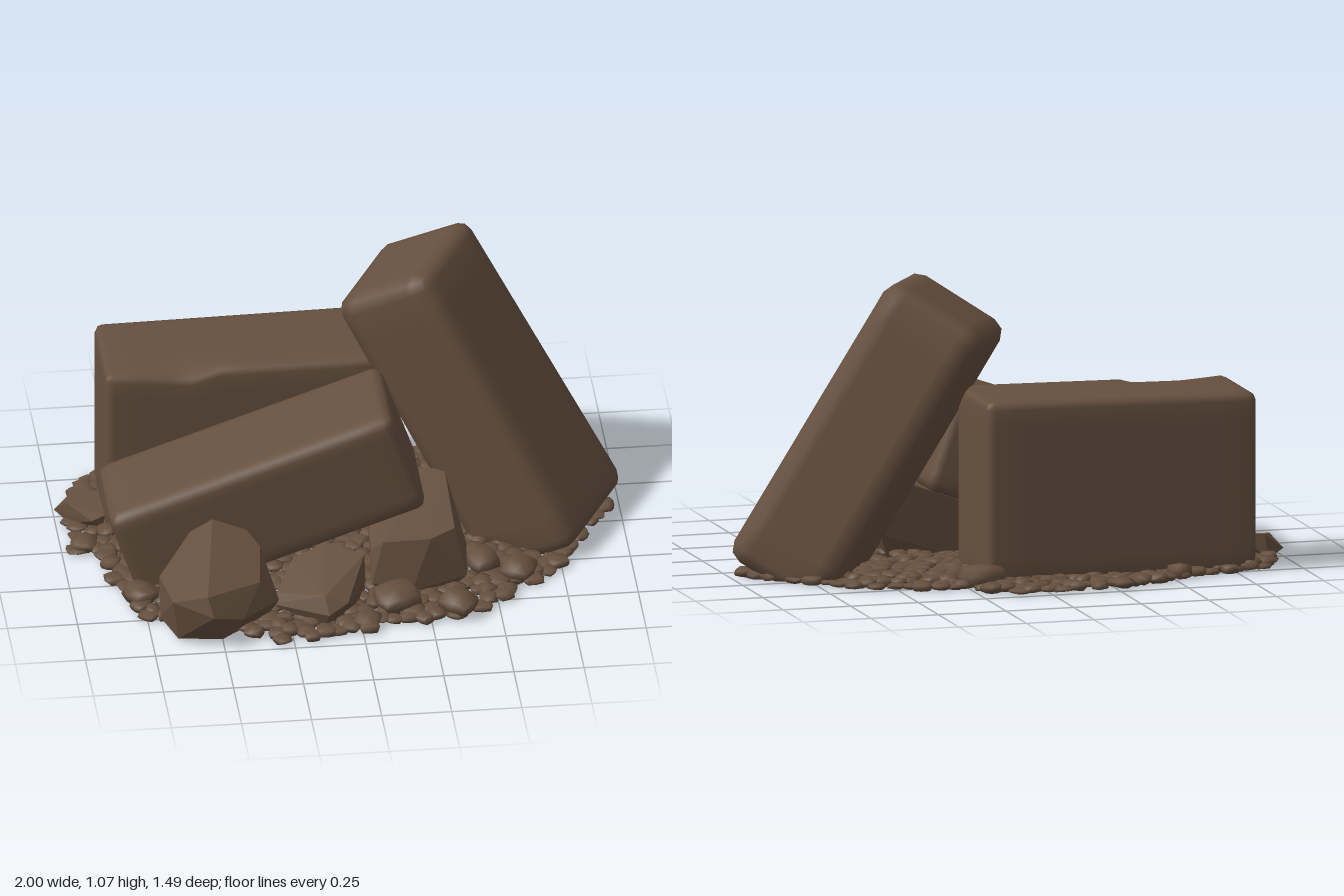
import * as THREE from 'three';
import { mergeGeometries, mergeVertices } from 'three/addons/utils/BufferGeometryUtils.js';
import { ConvexGeometry } from 'three/addons/geometries/ConvexGeometry.js';

const clamp = THREE.MathUtils.clamp;

// Cube grid with shared corners, so that it shades smoothly
function cubeGrid(size, n) {
  const geo = new THREE.BoxGeometry(size, size, size, n, n, n);
  geo.deleteAttribute('uv');
  geo.deleteAttribute('normal');
  return mergeVertices(geo);
}

// Soft-edged stone block, placed by a basis, cut off at the ground along its own upright edges
function blockGeometry(size, r, basis, centre, warp) {
  const n = 12;
  const geo = cubeGrid(2, n);
  const pos = geo.attributes.position;
  const half = size.map((s) => s / 2);
  const up = new THREE.Vector3().setFromMatrixColumn(basis, 1);
  const p = new THREE.Vector3(), inner = new THREE.Vector3();
  for (let i = 0; i < pos.count; i++) {
    p.fromBufferAttribute(pos, i);
    // outermost grid ring forms the bevel, the rest fills the flat face
    ['x', 'y', 'z'].forEach((k, j) => {
      const flat = half[j] - r;
      p[k] = Math.abs(p[k]) > 0.999 ? Math.sign(p[k]) * half[j] : (p[k] * flat) / (1 - 2 / n);
      inner[k] = clamp(p[k], -flat, flat);
    });
    p.sub(inner).setLength(r).add(inner);
    p.applyMatrix4(basis).add(centre);
    if (warp) warp(p);
    if (p.y < 0.005) p.addScaledVector(up, (0.005 - p.y) / up.y);
    pos.setXYZ(i, p.x, p.y, p.z);
  }
  geo.computeVertexNormals();
  return geo;
}

// Convex boulder from a few corner points
const rockGeometry = (pts) => new ConvexGeometry(pts.map((p) => new THREE.Vector3(...p)));

// Small worn cube, tilted, squashed and turned, resting at height y
function chunk(x, z, rx, ry, rz, turn, tilt, y = 0) {
  const g = cubeGrid(1.7, 2);
  const pos = g.attributes.position;
  const p = new THREE.Vector3();
  for (let i = 0; i < pos.count; i++) {
    p.fromBufferAttribute(pos, i);
    p.setLength(THREE.MathUtils.lerp(p.length(), 1, 0.6));
    pos.setXYZ(i, p.x, p.y, p.z);
  }
  g.rotateX(tilt);
  g.rotateZ(tilt * 0.7);
  g.scale(rx, ry, rz);
  g.rotateY(turn);
  g.computeBoundingBox();
  g.translate(x, y - g.boundingBox.min.y, z);
  g.computeVertexNormals();
  return g;
}

// Point-in-polygon test for the rubble bed
function inside(poly, x, z) {
  let hit = false;
  for (let i = 0, j = poly.length - 1; i < poly.length; j = i++) {
    const [ax, az] = poly[i], [bx, bz] = poly[j];
    if (az > z !== bz > z && x < ((bx - ax) * (z - az)) / (bz - az) + ax) hit = !hit;
  }
  return hit;
}

export function createModel() {
  const group = new THREE.Group();
  const stone = new THREE.MeshStandardMaterial({ color: 0x66503f });
  stone.name = 'brown stone';
  const add = (name, geo) => {
    const mesh = new THREE.Mesh(geo, stone);
    mesh.name = name;
    group.add(mesh);
  };
  const V = (x, y, z) => new THREE.Vector3(x, y, z);

  // Upright block at the back, with a chip along its top front edge
  add('backBlock', blockGeometry([1.0, 0.65, 0.39], 0.03, new THREE.Matrix4(), V(-0.33, 0.325, -0.31), (p) => {
    if (p.y > 0.55 && p.x < -0.44) {
      p.y -= 0.035 * clamp((p.z + 0.21) / 0.08, 0, 1) * clamp((p.x + 0.8) / 0.33, 0, 1);
    }
    p.y += 0.014 * (p.x + 0.33) * (p.y > 0.3 ? 1 : 0);
  }));

  // Block tipped sideways in front of it
  add('tiltedBlock', blockGeometry([1.07, 0.4, 0.4], 0.035,
    new THREE.Matrix4().makeRotationZ(0.337), V(-0.298, 0.289, 0.105)));

  // Tall slab leaning inwards, a little wider towards its foot
  const w = V(-0.49, -0.06, 0.867).normalize();
  const u = w.clone().cross(V(0.75, 0.5, 0.425)).normalize();
  const t = u.clone().cross(w);
  const slabCentre = V(0.503, 0.476, -0.132);
  add('leaningSlab', blockGeometry([0.4, 1.16, 0.475], 0.055,
    new THREE.Matrix4().makeBasis(t, u, w), slabCentre, (p) => {
      const side = p.clone().sub(slabCentre).dot(w);
      p.addScaledVector(w, side * 0.1 * (0.5 - p.y));
    }));

  // Boulders at the front
  add('largeBoulder', rockGeometry([
    [-0.58, 0.26, 0.34], [-0.5, 0.3, 0.33], [-0.38, 0.26, 0.35], [-0.34, 0.23, 0.42], [-0.29, 0.1, 0.58],
    [-0.36, 0.19, 0.6], [-0.43, 0.1, 0.7], [-0.54, 0.14, 0.75], [-0.56, 0.21, 0.72], [-0.68, 0.18, 0.69],
    [-0.71, 0.19, 0.52], [-0.71, 0.04, 0.55], [-0.66, 0.02, 0.67], [-0.5, 0.0, 0.66],
    [-0.32, 0.01, 0.52], [-0.38, 0.0, 0.34], [-0.58, 0.0, 0.36]]));
  add('middleBoulder', rockGeometry([
    [-0.22, 0.14, 0.37], [-0.1, 0.18, 0.33], [0.03, 0.185, 0.44], [0.03, 0.09, 0.47], [-0.05, 0.1, 0.63],
    [-0.12, 0.07, 0.66], [-0.13, 0.13, 0.62], [-0.29, 0.09, 0.51], [-0.31, 0.05, 0.52],
    [-0.24, 0.01, 0.46], [-0.13, 0.0, 0.62], [0.0, 0.0, 0.48], [-0.08, 0.0, 0.36]]));
  add('rightBoulder', rockGeometry([
    [0.08, 0.2, 0.02], [0.3, 0.28, 0.02], [0.36, 0.28, 0.06], [0.4, 0.1, 0.05], [0.36, 0.23, 0.37],
    [0.27, 0.22, 0.42], [0.1, 0.21, 0.41], [0.06, 0.17, 0.38], [0.06, 0.05, 0.42], [0.2, 0.03, 0.45],
    [0.4, 0.05, 0.4], [0.41, 0.12, 0.3], [0.1, 0, 0.05], [0.36, 0, 0.1], [0.34, 0, 0.4], [0.1, 0, 0.4]]));
  add('edgeBoulder', rockGeometry([
    [-1, 0.03, -0.25], [-0.96, 0.08, -0.21], [-0.92, 0.09, -0.29], [-0.84, 0.09, -0.26], [-0.83, 0.06, -0.14],
    [-0.88, 0.05, -0.12], [-0.93, 0.0, -0.29], [-0.84, 0.0, -0.14], [-0.95, 0.0, -0.2]]));

  // Loose stones: x, z, radii x y z, turn, tilt
  [[0.14, 0.51, 0.09, 0.048, 0.08, 0.3, 0.2], [0.35, 0.57, 0.06, 0.045, 0.075, 0.8, 0.3],
    [0.2, -0.52, 0.09, 0.043, 0.075, 0.2, 0.1], [0.59, 0.35, 0.07, 0.04, 0.065, 1, 0.3],
    [-0.76, 0.36, 0.065, 0.035, 0.06, 2, 0.2], [-0.52, -0.57, 0.042, 0.03, 0.042, 0.5, 0.1],
    [-0.92, -0.02, 0.055, 0.025, 0.05, 1.3, 0.3], [0.47, 0.29, 0.06, 0.045, 0.06, 0.4, 0.2],
    [0.02, 0.62, 0.06, 0.025, 0.05, 1.1, 0.2], [-0.8, -0.46, 0.055, 0.025, 0.05, 2.2, 0.1],
  ].forEach((s) => add('looseStone', chunk(...s)));

  // Flat underside beneath the blocks
  const footing = [[-0.75, 0.3], [-0.65, -0.48], [0.53, 0.22]];
  const base = new THREE.ShapeGeometry(new THREE.Shape(footing.map(([x, z]) => new THREE.Vector2(x, z))));
  base.rotateX(Math.PI / 2);
  add('footing', base);

  // Bed of rubble scattered on a staggered, jittered grid
  let seed = 7;
  const rand = () => (seed = (seed * 16807) % 2147483647) / 2147483647;
  const outline = [[-0.97, -0.25], [-0.93, -0.42], [-0.8, -0.5], [-0.5, -0.61], [-0.3, -0.69], [-0.08, -0.74],
    [0.12, -0.72], [0.27, -0.59], [0.6, -0.48], [0.9, -0.2], [0.96, -0.05], [0.74, 0.28], [0.63, 0.43],
    [0.38, 0.6], [0.2, 0.64], [-0.3, 0.72], [-0.6, 0.6], [-0.78, 0.49], [-0.82, 0.3], [-0.88, 0.1], [-0.95, 0]];
  const pebbles = [];
  const step = 0.057;
  for (let row = 0; row < 28; row++) {
    for (let col = 0; col < 36; col++) {
      const x = -1 + (col + (row % 2) / 2) * step + (rand() - 0.5) * 0.03;
      const z = -0.75 + row * step * 0.95 + (rand() - 0.5) * 0.03;
      const underBlock = x > -0.78 && x < 0.12 && z > -0.46 && z < -0.16;
      if (underBlock || !inside(outline, x, z)) continue;
      const size = 0.031 + rand() * 0.011;
      const lift = inside(footing, x, z) ? 0.006 : 0;
      pebbles.push(chunk(x, z, size, 0.01 + rand() * 0.009, size * (0.85 + rand() * 0.25),
        rand() * 6, (rand() - 0.5) * 0.9, lift));
    }
  }
  add('rubble', mergeGeometries(pebbles));
  return group;
}
